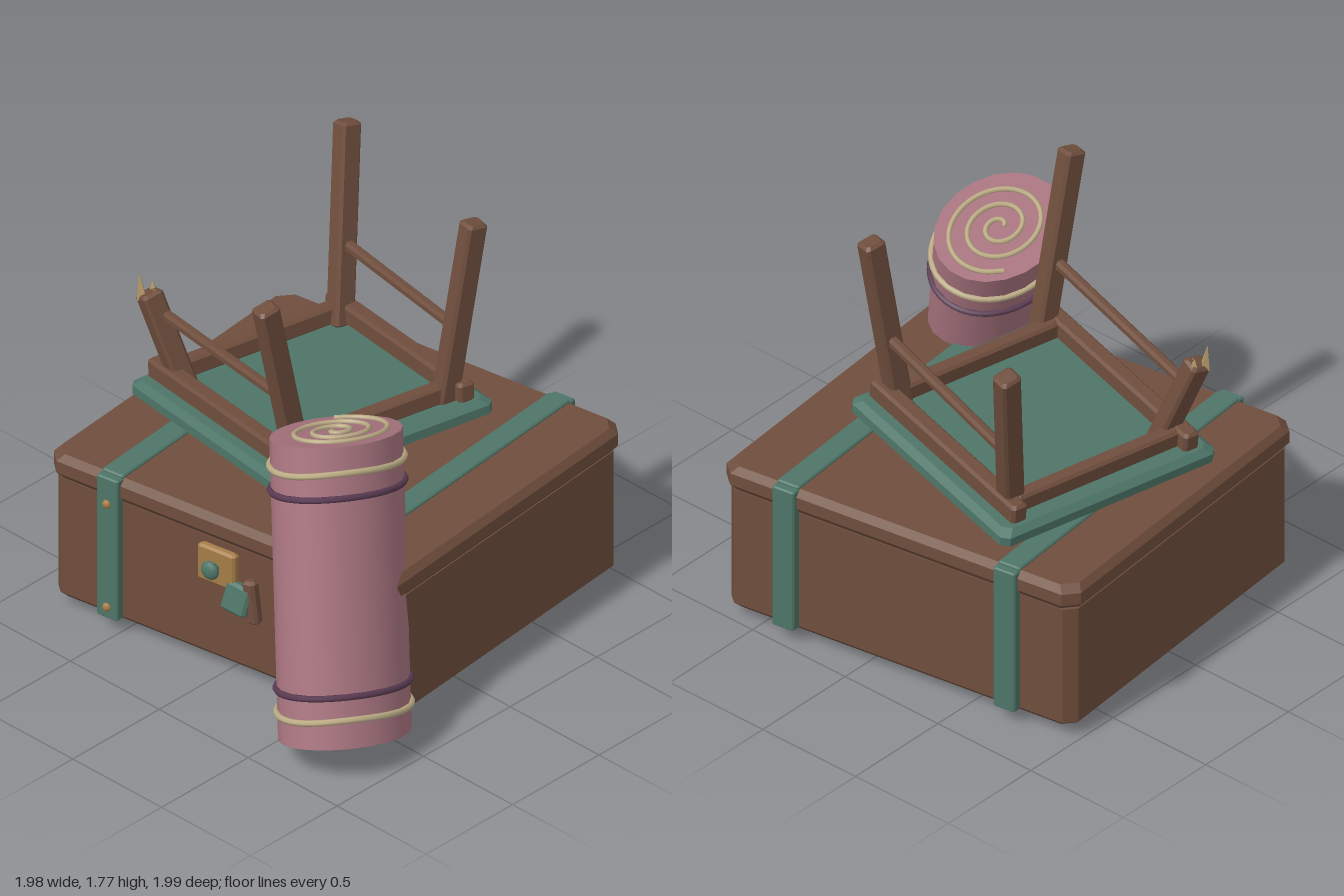
import * as THREE from 'three';

const mat = (name, color) => {
  const m = new THREE.MeshStandardMaterial({ color });
  m.name = name;
  return m;
};
const V = (x, y, z) => new THREE.Vector3(x, y, z);

// Stack of rectangles with cut corners; rings are [y, inset]
function loft(w, d, cut, rings) {
  const loops = rings.map(([y, inset]) => {
    const a = w / 2 - inset, b = d / 2 - inset, c = cut;
    return [[a, c - b], [a, b - c], [a - c, b], [c - a, b], [-a, b - c], [-a, c - b], [c - a, -b], [a - c, -b]]
      .map(([x, z]) => [x, y, z]);
  });
  const out = [];
  const tri = (...p) => p.forEach((q) => out.push(...q));
  const bottom = [0, rings[0][0], 0], top = [0, rings[rings.length - 1][0], 0];
  for (let k = 0; k < 8; k++) {
    const n = (k + 1) % 8;
    for (let i = 0; i < loops.length - 1; i++) {
      const lo = loops[i], hi = loops[i + 1];
      tri(lo[k], hi[k], lo[n]);
      tri(lo[n], hi[k], hi[n]);
    }
    tri(bottom, loops[0][k], loops[0][n]);
    tri(top, loops[loops.length - 1][n], loops[loops.length - 1][k]);
  }
  const g = new THREE.BufferGeometry();
  g.setAttribute('position', new THREE.Float32BufferAttribute(out, 3));
  g.computeVertexNormals();
  return g;
}

// Block with small bevels, centred on its origin
function block(w, h, d, b = 0.012) {
  return loft(w, d, b, [[-h / 2, b], [b - h / 2, 0], [h / 2 - b, 0], [h / 2, b]]);
}

export function createModel() {
  const brown = mat('wood brown', 0x6f4e3d);
  const teal = mat('faded teal', 0x4e7568);
  const pink = mat('dusty pink', 0xa8747f);
  const purple = mat('dark purple', 0x5c3c54);
  const cream = mat('cream cord', 0xbfaf88);
  const gold = mat('old brass', 0xa67d47);
  const tan = mat('raw wood', 0xb39868);

  const model = new THREE.Group();
  const add = (parent, name, geo, m) => {
    const mesh = new THREE.Mesh(geo, m);
    mesh.name = name;
    parent.add(mesh);
    return mesh;
  };
  const group = (name) => {
    const g = new THREE.Group();
    g.name = name;
    model.add(g);
    return g;
  };

  // Trunk: slightly skewed box, the skew is baked into each geometry
  const trunk = group('trunk');
  const skew = new THREE.Matrix4().makeBasis(V(0.988, 0, -0.153), V(0, 1, 0), V(0.094, 0, 0.995))
    .setPosition(-0.095, 0, -0.119);
  const addTrunk = (name, geo, m, x = 0, y = 0, z = 0) =>
    add(trunk, name, geo.translate(x, y, z).applyMatrix4(skew), m);

  addTrunk('trunkBody', loft(1.70, 1.53, 0.045, [[0.05, 0.04], [0.075, 0.017], [0.63, 0.017]]), brown);
  addTrunk('trunkLid', loft(1.70, 1.53, 0.055, [[0.62, 0.03], [0.66, 0], [0.715, 0], [0.745, 0.025]]), brown);
  for (const x of [-0.53, 0.53]) {
    addTrunk('topStrap', block(0.105, 0.03, 1.5, 0.006), teal, x, 0.742, 0);
    for (const s of [-1, 1]) addTrunk('sideStrap', block(0.105, 0.68, 0.045, 0.006), teal, x, 0.405, s * 0.762);
    for (const y of [0.12, 0.62]) {
      addTrunk('rivet', new THREE.SphereGeometry(0.02, 10, 6).scale(1, 1, 0.7), gold, x, y, 0.786);
    }
  }

  // Clasp with its knob and the loose hasp
  addTrunk('claspPlate', block(0.185, 0.17, 0.04, 0.01), gold, 0.007, 0.52, 0.765);
  addTrunk('knobStem', new THREE.CylinderGeometry(0.018, 0.018, 0.04, 10).rotateX(Math.PI / 2), teal, 0.007, 0.525, 0.795);
  addTrunk('claspKnob', new THREE.SphereGeometry(0.042, 12, 8).scale(1, 1, 0.55), teal, 0.007, 0.525, 0.82);
  addTrunk('hasp', block(0.12, 0.13, 0.05).rotateX(-0.25).rotateZ(-0.12), teal, 0.115, 0.41, 0.78);
  addTrunk('haspHook', block(0.06, 0.2, 0.05).rotateZ(0.12), brown, 0.175, 0.41, 0.765);

  // Upturned stool: seat and frame share one tilted group
  const stool = group('stool');
  const seat = new THREE.Group();
  seat.name = 'seatAssembly';
  seat.position.set(-0.235, 0.867, -0.125);
  seat.rotation.set(0, -0.21, 0.092, 'YXZ');
  stool.add(seat);
  add(seat, 'seat', loft(1.07, 1.07, 0.03, [[-0.043, 0.035], [-0.02, 0], [0.02, 0], [0.043, 0.03]]), teal);
  for (const s of [-1, 1]) {
    add(seat, 'longRail', block(0.99, 0.09, 0.075), brown).position.set(0, 0.083, s * 0.43);
    add(seat, 'shortRail', block(0.07, 0.085, 0.82), brown).position.set(s * 0.41, 0.08, 0);
  }

  // Beam between two points; ref fixes its roll
  const xAxis = V(0.978, 0, 0.208);
  const beam = (name, a, b, w, d, ref = xAxis) => {
    const y = b.clone().sub(a), len = y.length();
    y.normalize();
    const z = ref.clone().cross(y).normalize();
    const x = y.clone().cross(z);
    const m = new THREE.Matrix4().makeBasis(x, y, z).setPosition(a.clone().add(b).multiplyScalar(0.5));
    return add(stool, name, block(w, len, d).applyMatrix4(m), brown);
  };
  beam('frontRightLeg', V(0.12, 0.75, 0.28), V(0.11, 1.765, 0.5), 0.085, 0.095);
  beam('backRightLeg', V(0.235, 0.88, -0.395), V(0.28, 1.765, -0.53), 0.085, 0.095);
  beam('backLeftLeg', V(-0.52, 0.86, -0.58), V(-0.685, 1.68, -0.79), 0.085, 0.095);
  beam('brokenLeg', V(-0.61, 0.75, 0.16), V(-0.81, 1.28, 0.23), 0.085, 0.095);
  beam('backStretcher', V(-0.6, 1.19, -0.675), V(0.28, 1.275, -0.45), 0.045, 0.045, V(0, 1, 0));
  beam('frontStretcher', V(-0.78, 1.18, 0.19), V(0.13, 1.275, 0.4), 0.045, 0.045, V(0, 1, 0));

  // Splinters on the broken leg: [x, y, z, height]
  for (const [x, y, z, h] of [[-0.836, 1.31, 0.25, 0.12], [-0.785, 1.265, 0.22, 0.07], [-0.815, 1.285, 0.2, 0.06]]) {
    const s = add(stool, 'splinter', new THREE.ConeGeometry(0.026, h, 4).toNonIndexed(), tan);
    s.geometry.computeVertexNormals();
    s.position.set(x, y, z);
    s.rotation.z = 0.12;
  }

  // Bedroll: oval cylinder leaning on the trunk
  const roll = group('bedroll');
  const low = V(0.752, 0.092, 0.70), high = V(0.43, 1.272, 0.42);
  const axis = high.clone().sub(low), length = axis.length();
  const rx = 0.237, rz = 0.3;
  roll.position.copy(low);
  roll.quaternion.setFromUnitVectors(V(0, 1, 0), axis.normalize());
  add(roll, 'rollBody', new THREE.CylinderGeometry(1, 1, length, 20).scale(rx, 1, rz).translate(0, length / 2, 0), pink);

  // Cords around both ends
  const ring = (name, y, r, wobble, m) => {
    const pts = [];
    for (let i = 0; i < 24; i++) {
      const a = (i / 24) * Math.PI * 2;
      pts.push(V(Math.cos(a) * (rx + 0.003), y + wobble * Math.sin(a * 3), Math.sin(a) * (rz + 0.003)));
    }
    add(roll, name, new THREE.TubeGeometry(new THREE.CatmullRomCurve3(pts, true), 48, r, 6, true), m);
  };
  for (const end of [0, 1]) {
    const at = (d) => (end ? length - d : d);
    ring('creamCord', at(0.115), 0.014, 0.006, cream);
    ring('purpleCord', at(0.215), 0.014, 0.002, purple);
  }

  // Spiral on the upper end
  const spiral = [];
  for (let i = 0; i <= 44; i++) {
    const t = i / 44, a = -2.5 + t * Math.PI * 5.6, r = 0.84 - 0.78 * t;
    spiral.push(V(Math.cos(a) * r * rx, length + 0.004, Math.sin(a) * r * rz));
  }
  add(roll, 'spiralCord', new THREE.TubeGeometry(new THREE.CatmullRomCurve3(spiral), 130, 0.011, 6), cream);

  return model;
}
